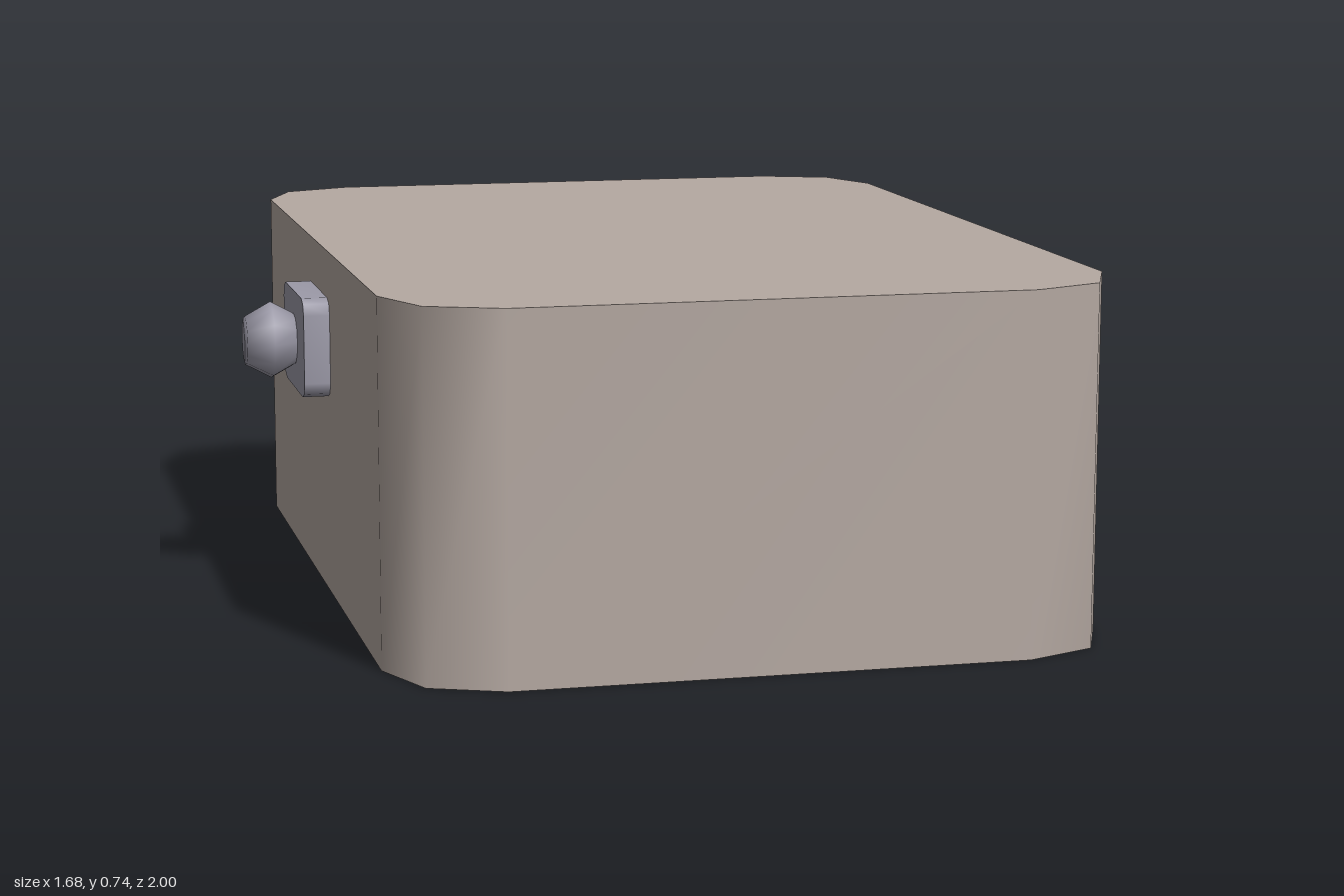
import * as THREE from 'three';

const shellMat = new THREE.MeshStandardMaterial({ color: 0xb5a9a2 });
shellMat.name = 'warm grey';
const padMat = new THREE.MeshStandardMaterial({ color: 0x9c9aa8 });
padMat.name = 'cool grey';

// Outline of a rectangle with corners rounded in two steps, counter-clockwise
function outline(w, h, r) {
  const pts = [];
  for (let c = 0; c < 4; c++) {
    const cx = (c === 0 || c === 3 ? 1 : -1) * (w / 2 - r);
    const cy = (c < 2 ? 1 : -1) * (h / 2 - r);
    for (let i = 0; i <= 2; i++) {
      const a = (c + i / 2) * Math.PI / 2;
      pts.push(new THREE.Vector2(cx + r * Math.cos(a), cy + r * Math.sin(a)));
    }
  }
  return pts;
}

// Slab from z = 0 to z = depth: one smooth wall and two flat caps
function slab(name, w, h, r, depth, material) {
  const pts = outline(w, h, r);
  const n = pts.length;
  const positions = [];
  const index = [];
  pts.forEach((p, i) => {
    const j = (i + 1) % n;
    positions.push(p.x, p.y, 0, p.x, p.y, depth);
    index.push(2 * i, 2 * j, 2 * j + 1, 2 * i, 2 * j + 1, 2 * i + 1);
  });
  const wall = new THREE.BufferGeometry();
  wall.setAttribute('position', new THREE.Float32BufferAttribute(positions, 3));
  wall.setIndex(index);
  wall.computeVertexNormals();

  const front = new THREE.ShapeGeometry(new THREE.Shape(pts)).translate(0, 0, depth);
  const back = new THREE.ShapeGeometry(new THREE.Shape(pts)).rotateY(Math.PI);

  const group = new THREE.Group();
  group.name = name;
  [[wall, 'Wall'], [front, 'FrontCap'], [back, 'BackCap']].forEach(([geometry, suffix]) => {
    const mesh = new THREE.Mesh(geometry, material);
    mesh.name = name + suffix;
    group.add(mesh);
  });
  return group;
}

export function createModel() {
  const model = new THREE.Group();
  model.name = 'box';

  // Body, standing on the ground
  const body = slab('body', 1.465, 2, 0.21, 0.735, shellMat);
  body.rotation.x = -Math.PI / 2;
  body.position.x = 0.052;
  model.add(body);

  // Two square pads on the left side
  for (const [name, z] of [['frontPad', 0.497], ['rearPad', -0.45]]) {
    const pad = slab(name, 0.21, 0.21, 0.033, 0.055, padMat);
    pad.rotation.y = Math.PI / 2;
    pad.position.set(0.784, 0.53, z);
    model.add(pad);
  }

  // Wide plate on the right side
  const plate = slab('knobPlate', 0.315, 0.21, 0.033, 0.055, padMat);
  plate.rotation.y = -Math.PI / 2;
  plate.position.set(-0.68, 0.53, -0.003);
  model.add(plate);

  // Faceted round knob on the plate
  const profile = [[0, -0.055], [0.052, -0.055], [0.082, 0], [0.052, 0.055], [0, 0.055]]
    .map(([x, y]) => new THREE.Vector2(x, y));
  const knob = new THREE.Mesh(new THREE.LatheGeometry(profile, 12), padMat);
  knob.name = 'knob';
  knob.rotation.z = Math.PI / 2;
  knob.position.set(-0.785, 0.53, -0.003);
  model.add(knob);

  return model;
}
